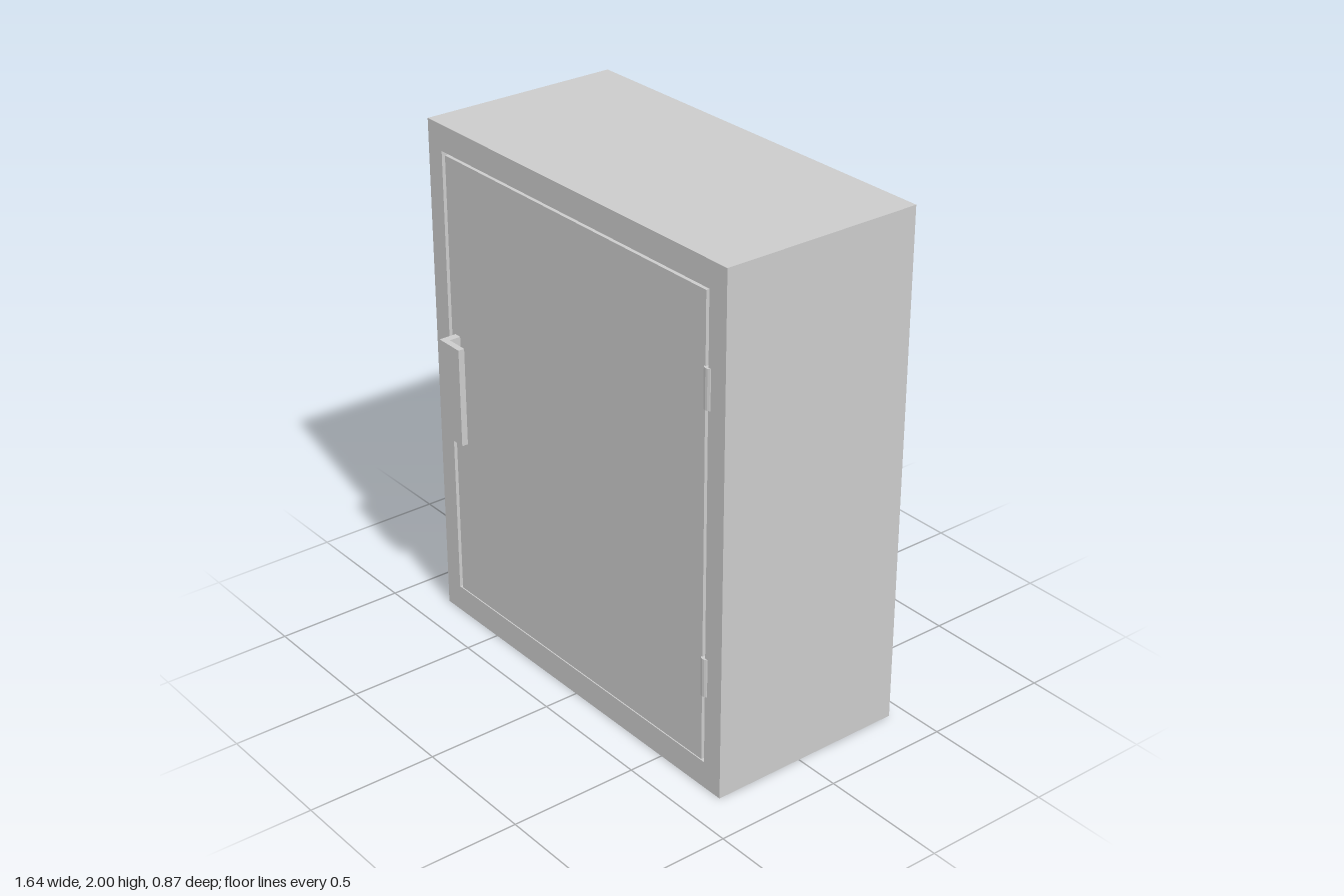
import * as THREE from 'three';

const material = new THREE.MeshStandardMaterial({ color: 0xcccccc, flatShading: true });

const FRONT = 0.365, BACK = -0.435, BACK_WALL = 0.08;

function addMesh(parent, name, geometry, x = 0, y = 0, z = 0) {
  const mesh = new THREE.Mesh(geometry, material);
  mesh.name = name;
  mesh.position.set(x, y, z);
  parent.add(mesh);
  return mesh;
}

// Box given by its limits on each axis
function addBox(parent, name, [x0, x1], [y0, y1], [z0, z1]) {
  return addMesh(parent, name, new THREE.BoxGeometry(x1 - x0, y1 - y0, z1 - z0),
    (x0 + x1) / 2, (y0 + y1) / 2, (z0 + z1) / 2);
}

function rectangle(PathType, x0, x1, y0, y1) {
  return new PathType([[x0, y0], [x1, y0], [x1, y1], [x0, y1]].map(([x, y]) => new THREE.Vector2(x, y)));
}

export function createModel() {
  const cabinet = new THREE.Group();
  cabinet.name = 'cabinet';

  // Hollow housing: four walls around the door opening, closed by a back panel
  const walls = rectangle(THREE.Shape, -0.82, 0.82, 0, 2);
  walls.holes.push(rectangle(THREE.Path, -0.74, 0.735, 0.105, 1.9));
  const depth = FRONT - BACK - BACK_WALL;
  addMesh(cabinet, 'housing', new THREE.ExtrudeGeometry(walls, { depth, bevelEnabled: false }),
    0, 0, BACK + BACK_WALL);
  addBox(cabinet, 'backPanel', [-0.82, 0.82], [0, 2], [BACK, BACK + BACK_WALL]);

  // Door, flush with the front and separated by a narrow gap
  addBox(cabinet, 'door', [-0.72, 0.72], [0.11, 1.89], [FRONT - 0.05, FRONT]);

  // Hinge barrels, sunk into the gap at the door's edge
  for (const [name, y] of [['lowerHinge', 0.455], ['upperHinge', 1.55]]) {
    addMesh(cabinet, name, new THREE.CylinderGeometry(0.022, 0.022, 0.15, 16), 0.73, y, 0.352);
  }

  // L-shaped pull handle
  const profile = new THREE.Shape([
    [-0.70, 0.36], [-0.67, 0.36], [-0.67, 0.41], [-0.58, 0.41], [-0.58, 0.435], [-0.70, 0.435],
  ].map(([x, z]) => new THREE.Vector2(x, -z)));
  const handle = new THREE.ExtrudeGeometry(profile, { depth: 0.39, bevelEnabled: false });
  handle.rotateX(-Math.PI / 2);
  addMesh(cabinet, 'handle', handle, 0, 0.81, 0);

  return cabinet;
}
